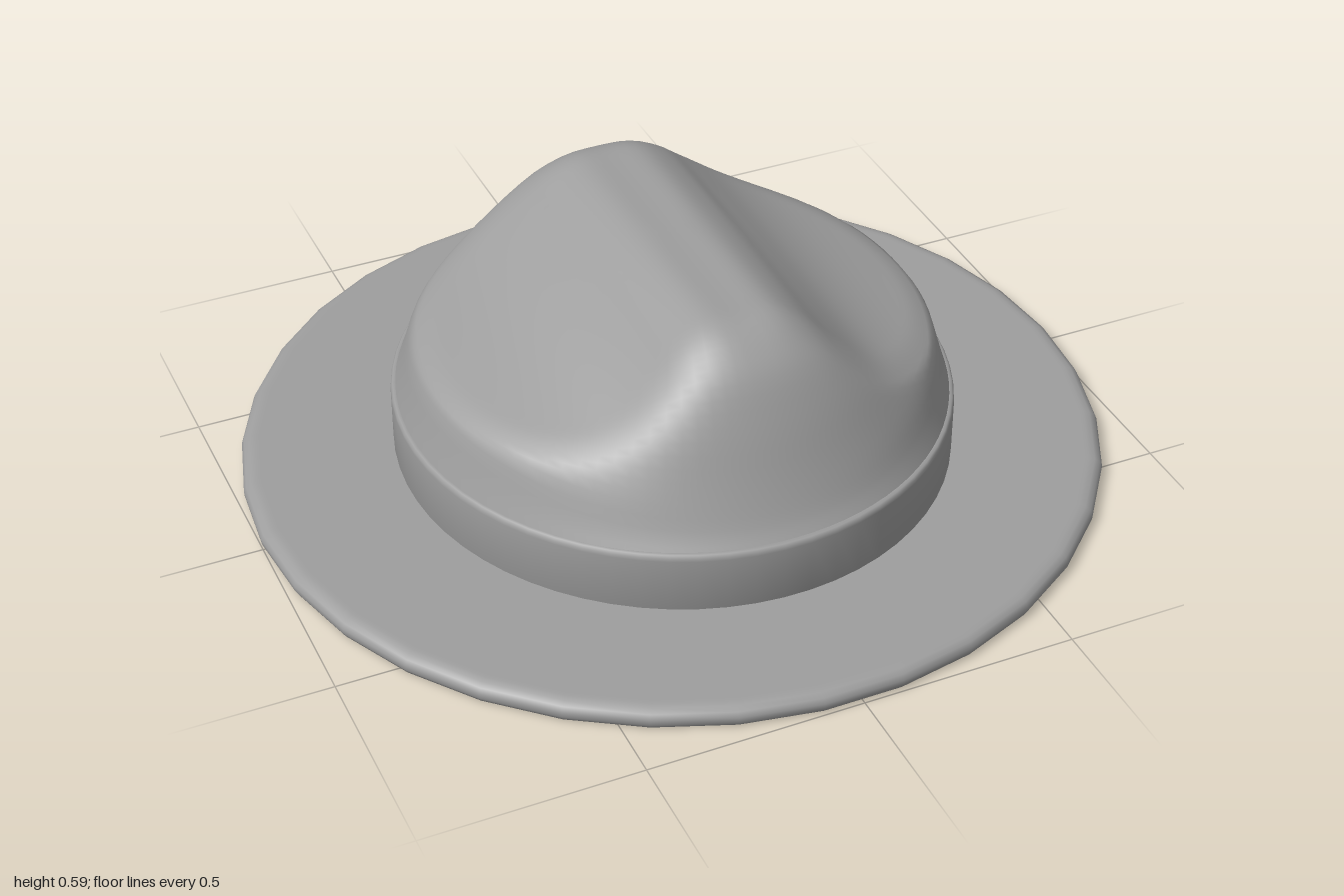
import * as THREE from 'three';

const material = new THREE.MeshStandardMaterial({ color: 0x9e9e9e });

// Smooth interpolation through [position, height] pairs
function sample(pts, t) {
  let i = 0;
  while (i < pts.length - 2 && t > pts[i + 1][0]) i++;
  const slope = (a, b) => (pts[b][1] - pts[a][1]) / (pts[b][0] - pts[a][0]);
  const tangent = (k) => slope(Math.max(k - 1, 0), Math.min(k + 1, pts.length - 1));
  const w = pts[i + 1][0] - pts[i][0];
  const u = Math.min(Math.max((t - pts[i][0]) / w, 0), 1);
  const u2 = u * u, u3 = u2 * u;
  return (2 * u3 - 3 * u2 + 1) * pts[i][1] + (u3 - 2 * u2 + u) * w * tangent(i)
    + (3 * u2 - 2 * u3) * pts[i + 1][1] + (u3 - u2) * w * tangent(i + 1);
}

// Crown outlines: slope away from the ridge, end walls and side walls
const ridge = [[0, 0.59], [0.08, 0.588], [0.15, 0.555], [0.2, 0.515], [0.3, 0.445], [0.4, 0.397], [0.55, 0.35], [0.66, 0.32]];
const endWall = [[0, 1.05], [0.5, 0.73], [0.62, 0.63], [0.68, 0.575], [0.75, 0.51], [0.83, 0.41], [0.9, 0.305], [0.96, 0.225], [1, 0.19]];
const sideWall = [[0, 1.05], [0.5, 0.75], [0.75, 0.56], [0.86, 0.455], [0.93, 0.355], [0.97, 0.255], [1, 0.19]];

function crownHeight(rho, angle) {
  const x = Math.abs(0.635 * rho * Math.cos(angle));
  const z = 0.665 * rho * Math.sin(angle);
  const side = Math.cos(angle) ** 2;
  const wall = THREE.MathUtils.lerp(sample(endWall, rho), sample(sideWall, rho), side);
  // the side slopes fall away towards both ends, a little more at the front
  const fall = THREE.MathUtils.smoothstep(x, 0.05, 0.35) * (0.12 * z * z + 0.04 * z);
  const top = sample(ridge, x) - fall;
  // soft blend between the top and the walls
  const k = 0.12;
  const h = Math.max(k - Math.abs(wall - top), 0) / k;
  return Math.min(wall, top) - (h * h * k * (1 - rho ** 8)) / 4;
}

// One skin of the crown as rings around the centre
function crownSkin(scale, drop, inward) {
  const rings = 40, segs = 96;
  const pos = [0, crownHeight(0, 0) - drop, 0], idx = [];
  for (let r = 1; r <= rings; r++) {
    const rho = Math.sin((r / rings) * Math.PI * 0.5) * 0.5 + (r / rings) * 0.5;
    for (let s = 0; s < segs; s++) {
      const a = (s / segs) * Math.PI * 2;
      pos.push(0.635 * scale * rho * Math.cos(a), crownHeight(rho, a) - drop, 0.665 * scale * rho * Math.sin(a));
    }
  }
  const tri = (a, b, c) => (inward ? idx.push(a, c, b) : idx.push(a, b, c));
  const at = (r, s) => 1 + (r - 1) * segs + (s % segs);
  for (let s = 0; s < segs; s++) {
    tri(0, at(1, s + 1), at(1, s));
    for (let r = 1; r < rings; r++) {
      tri(at(r, s), at(r, s + 1), at(r + 1, s));
      tri(at(r, s + 1), at(r + 1, s + 1), at(r + 1, s));
    }
  }
  const geo = new THREE.BufferGeometry();
  geo.setAttribute('position', new THREE.Float32BufferAttribute(pos, 3));
  geo.setIndex(idx);
  geo.computeVertexNormals();
  return geo;
}

// Closed ring turned from a profile; pairs of close points keep edges tight
function turned(profile, segs) {
  return new THREE.LatheGeometry(profile.map(([x, y]) => new THREE.Vector2(x, y)), segs, Math.PI / segs);
}

export function createModel() {
  const hat = new THREE.Group();
  hat.name = 'hat';
  const add = (name, geo) => {
    const mesh = new THREE.Mesh(geo, material);
    mesh.name = name;
    hat.add(mesh);
    return mesh;
  };

  // Flat brim with a bevelled rim
  add('brim', turned([
    [0.61, 0.045], [0.61, 0.04], [0.61, 0.006], [0.612, 0.001], [0.618, 0], [0.97, 0], [0.988, 0], [0.995, 0.004],
    [1.001, 0.015], [1.002, 0.028], [0.996, 0.04], [0.984, 0.047], [0.97, 0.049], [0.96, 0.049], [0.62, 0.049], [0.61, 0.045],
  ], 34));

  // Slightly oval band around the base of the crown
  const band = add('hatBand', turned([
    [0.608, 0.19], [0.608, 0.185], [0.608, 0.03], [0.645, 0.03], [0.645, 0.18], [0.644, 0.188], [0.64, 0.194], [0.632, 0.195], [0.608, 0.19],
  ], 64));
  band.scale.z = 0.675 / 0.645;

  // Ridged crown, outer and inner skins
  add('crownOutside', crownSkin(1, 0, false));
  add('crownLining', crownSkin(0.955, 0.025, true));

  return hat;
}
